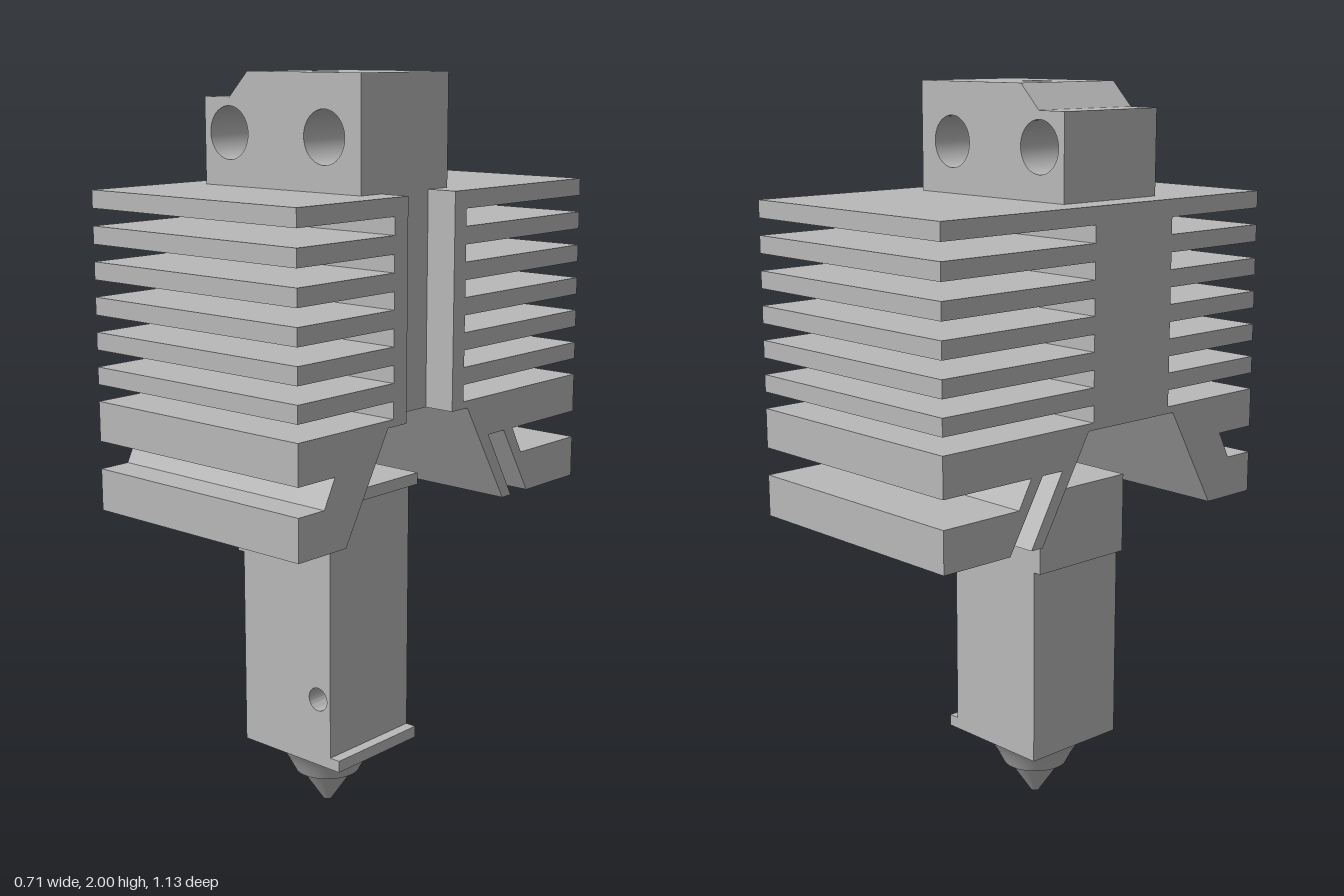
import * as THREE from 'three';
import { toCreasedNormals } from 'three/addons/utils/BufferGeometryUtils.js';

const AXIS_Z = 0.08; // centre line of the filament path

function shapeOf(points, holes = []) {
  const shape = new THREE.Shape(points.map(([x, y]) => new THREE.Vector2(x, y)));
  for (const [x, y, r] of holes) {
    shape.holes.push(new THREE.Path().absarc(x, y, r, 0, Math.PI * 2, true));
  }
  return shape;
}

function extrude(shape, depth) {
  const g = new THREE.ExtrudeGeometry(shape, { depth, bevelEnabled: false, curveSegments: 20 });
  return toCreasedNormals(g, 0.6);
}

// Outline in (x, y), pushed along z from z0 to z1
function alongZ(points, z0, z1, holes) {
  return extrude(shapeOf(points, holes), z1 - z0).translate(0, 0, z0);
}

// Outline in (z, y), pushed along x from x0 to x1
function alongX(points, x0, x1) {
  const g = extrude(shapeOf(points.map(([z, y]) => [-z, y])), x1 - x0);
  return g.rotateY(Math.PI / 2).translate(x0, 0, 0);
}

// Comb of six thin fins, from the top down to the thick lower fin
function comb(outer, inner) {
  const pts = [];
  for (let i = 0; i < 6; i++) {
    const top = 1.71 - i * 0.0905;
    pts.push([outer, top], [outer, top - 0.046], [inner, top - 0.046], [inner, top - 0.0905]);
  }
  pts.push([outer, 1.167], [outer, 1.061]);
  return pts;
}

export function createModel() {
  const group = new THREE.Group();
  const grey = new THREE.MeshStandardMaterial({ color: 0xb8b8b8 });
  grey.name = 'grey metal';

  const add = (name, geometry) => {
    const mesh = new THREE.Mesh(geometry, grey);
    mesh.name = name;
    group.add(mesh);
    return mesh;
  };

  // Heat sink: finned front and rear profiles with slanted air ducts below
  const front = [
    ...comb(0.563, 0.22),
    [0.435, 1.061], [0.473, 0.987], [0.563, 0.987], [0.563, 0.875],
    [0.395, 0.875], [0.24, 1.148],
  ];
  const rear = [
    ...comb(-0.563, -0.06),
    [-0.277, 1.061], [-0.318, 0.987], [-0.563, 0.987], [-0.563, 0.875],
    [-0.348, 0.875], [-0.238, 1.061], [-0.17, 1.061], [-0.276, 0.875],
    [-0.238, 0.875], [-0.077, 1.148],
  ];
  add('heatSinkBody', alongX([...front, ...[...rear].reverse()], -0.355, 0.265));
  // The left side is split by an upright channel
  add('heatSinkFrontCheek', alongX([...front, [0.17, 1.148], [0.17, 1.71]], 0.265, 0.352));
  add('heatSinkRearCheek', alongX([...rear, [-0.013, 1.148], [-0.013, 1.71]], 0.265, 0.352));

  // Mounting block: two bored ends and a centre piece with the filament inlet
  const z0 = -0.087, z1 = 0.247, low = 1.71, mid = 0.05;
  add('mountRightEnd', alongZ(
    [[-0.27, low], [-mid, low], [-mid, 2], [-0.115, 2], [-0.18, 1.935], [-0.27, 1.935]],
    z0, z1, [[-0.182, 1.845, 0.068]]));
  add('mountLeftEnd', alongZ(
    [[mid, low], [0.267, low], [0.267, 2], [mid, 2]],
    z0, z1, [[0.147, 1.845, 0.068]]));
  const inlet = extrude(shapeOf(
    [[-mid, -z1], [mid, -z1], [mid, -z0], [-mid, -z0]], [[0, -AXIS_Z, 0.038]]), 2 - low);
  add('mountCentre', inlet.rotateX(-Math.PI / 2).translate(0, low, 0));

  // Heat break joining heat sink and heater block
  const neck = add('heatBreakNeck', new THREE.CylinderGeometry(0.045, 0.045, 0.1, 32));
  neck.position.set(0, 1.105, AXIS_Z);
  const collar = add('heatBreakCollar', new THREE.CylinderGeometry(0.09, 0.09, 0.125, 40));
  collar.position.set(0, 1.0025, AXIS_Z);

  // Heater block outline with the two side lips and the side pad
  const block = [
    [-0.158, 0.185], [0.188, 0.185], [0.188, 0.217], [0.157, 0.217],
    [0.157, 0.915], [0.188, 0.915], [0.188, 0.947], [-0.18, 0.947],
    [-0.18, 0.727], [-0.158, 0.727],
  ];
  add('heaterBlockFront', alongZ(block, 0.09, 0.24, [[0.113, 0.372, 0.032]]));
  add('heaterBlockRear', alongZ(block, -0.077, 0.09));

  // Nozzle: flared shoulder, small ledge and pointed tip
  const profile = [
    [0, 0], [0.012, 0], [0.076, 0.095], [0.09, 0.095], [0.099, 0.112],
    [0.111, 0.135], [0.127, 0.16], [0.148, 0.187], [0, 0.187],
  ].map(([r, y]) => new THREE.Vector2(r, y));
  const nozzle = add('nozzle', toCreasedNormals(new THREE.LatheGeometry(profile, 48), 0.5));
  nozzle.position.z = AXIS_Z;

  return group;
}
